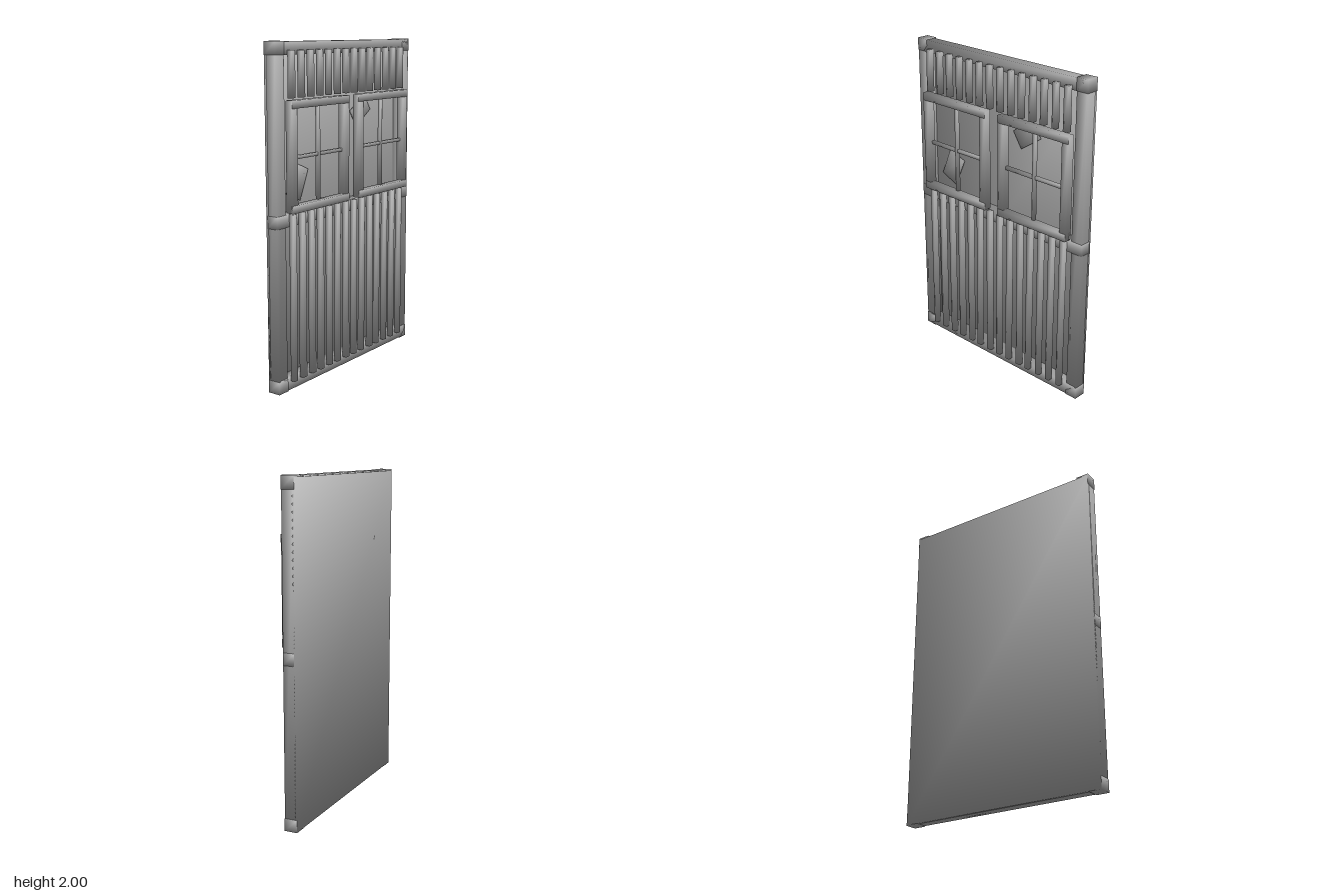
import * as THREE from 'three';
import { mergeVertices } from 'three/addons/utils/BufferGeometryUtils.js';

const grey = new THREE.MeshStandardMaterial({ color: 0xaaaaaa });
grey.name = 'grey';

// Eight-cornered beam with one shared soft normal per corner.
// x0..z1 are the limits; lean shifts the lower end sideways, taper scales its width.
function beam(parent, name, [x0, x1], [y0, y1], [z0, z1], { lean = 0, taper = 1, turn = 0 } = {}) {
  const w = x1 - x0, h = y1 - y0, d = z1 - z0;
  let geo = new THREE.BoxGeometry(w, h, d);
  geo.deleteAttribute('normal');
  geo.deleteAttribute('uv');
  geo = mergeVertices(geo);
  const p = geo.attributes.position;
  const normals = new Float32Array(p.count * 3);
  const n = new THREE.Vector3();
  for (let i = 0; i < p.count; i++) {
    n.set(Math.sign(p.getX(i)), Math.sign(p.getY(i)), Math.sign(p.getZ(i))).normalize();
    n.toArray(normals, i * 3);
    if (n.y < 0) p.setX(i, p.getX(i) * taper + lean);
  }
  geo.setAttribute('normal', new THREE.BufferAttribute(normals, 3));
  const mesh = new THREE.Mesh(geo, grey);
  mesh.name = name;
  mesh.position.set((x0 + x1) / 2, (y0 + y1) / 2, (z0 + z1) / 2);
  mesh.rotation.z = turn;
  parent.add(mesh);
  return mesh;
}

function group(parent, name) {
  const g = new THREE.Group();
  g.name = name;
  parent.add(g);
  return g;
}

// Repeatable small irregularity in -1..1
let seed = 7;
function vary() {
  seed = (seed * 16807) % 2147483647;
  return (seed / 2147483647) * 2 - 1;
}

// Window frame with crossed glazing bars, centred on cx
function addWindow(parent, name, cx) {
  const g = group(parent, name);
  const hw = 0.265, t = 0.045, y0 = 1.05, y1 = 1.68;
  for (const s of [-1, 1]) {
    const a = cx + s * hw, b = cx + s * (hw - t);
    beam(g, 'windowJamb', [Math.min(a, b), Math.max(a, b)], [y0 + 0.005, y1 - 0.005], [0.015, 0.062]);
  }
  beam(g, 'windowHead', [cx - hw, cx + hw], [y1 - t, y1], [0.02, 0.065]);
  beam(g, 'windowSill', [cx - hw, cx + hw], [y0, y0 + t], [0.02, 0.065]);
  beam(g, 'uprightGlazingBar', [cx - 0.01, cx + 0.01], [y0 + t, y1 - t], [0.022, 0.042]);
  beam(g, 'crossGlazingBar', [cx - hw + t, cx + hw - t], [1.35, 1.37], [0.02, 0.04]);
}

export function createModel() {
  const model = new THREE.Group();
  model.name = 'timberWall';

  // Thin backing sheet
  beam(model, 'backPanel', [-0.663, 0.663], [0.003, 1.99], [-0.065, -0.05]);

  // Outer frame and middle rail
  const frame = group(model, 'frame');
  for (const s of [-1, 1]) {
    const x = s * 0.626;
    beam(frame, 'cornerPost', [x - 0.037, x + 0.037], [0.002, 1.998], [-0.062, 0.013]);
    beam(frame, 'topCornerBlock', [x - 0.039, x + 0.039], [1.925, 2], [-0.064, 0.015]);
    beam(frame, 'bottomCornerBlock', [x - 0.039, x + 0.039], [0, 0.075], [-0.064, 0.015]);
  }
  beam(frame, 'topRail', [-0.655, 0.655], [1.925, 1.997], [-0.052, 0.015]);
  beam(frame, 'middleRail', [-0.664, 0.664], [0.968, 1.04], [-0.055, 0.014]);
  beam(frame, 'bottomRail', [-0.655, 0.655], [0.004, 0.08], [-0.052, 0.015]);

  // Two rows of uneven vertical slats
  const slats = group(model, 'slats');
  for (let i = 0; i < 14; i++) {
    const x = -0.545 + i * 0.0836, w = 0.016;
    beam(slats, 'upperSlat', [x - w, x + w], [1.69, 1.95], [0.015, 0.044],
      { lean: vary() * 0.003, taper: 1 + vary() * 0.1 });
    beam(slats, 'lowerSlat', [x - w, x + w], [0.055, 1.04], [0.015, 0.044],
      { lean: vary() * 0.005, taper: 1 + vary() * 0.15 });
  }

  // Pair of windows
  addWindow(model, 'rightWindow', -0.317);
  addWindow(model, 'leftWindow', 0.317);

  // Loose sheets behind the windows
  const sheets = group(model, 'sheets');
  beam(sheets, 'lowerSheet', [-0.49, -0.36], [1.11, 1.3], [-0.04, -0.032], { turn: -0.4 });
  beam(sheets, 'upperSheet', [0.108, 0.282], [1.512, 1.628], [-0.04, -0.032], { turn: 0.58 });

  return model;
}
